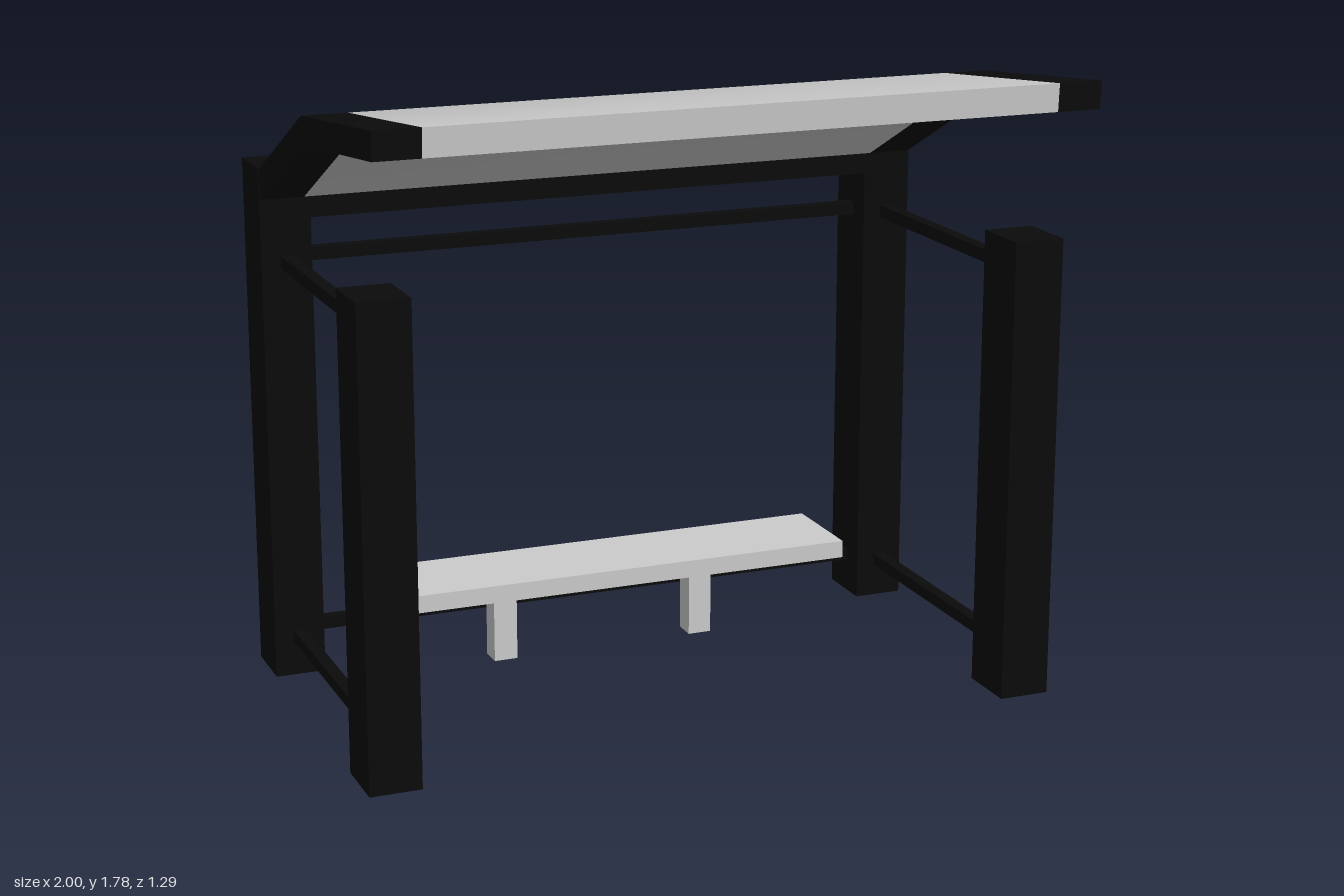
import * as THREE from 'three';
import { toCreasedNormals } from 'three/addons/utils/BufferGeometryUtils.js';

export function createModel() {
  const model = new THREE.Group();
  model.name = 'busShelter';
  const grey = new THREE.MeshStandardMaterial({ color: 0xcccccc });
  const black = new THREE.MeshStandardMaterial({ color: 0x0b0b0b });

  const add = (name, geometry, material) => {
    const mesh = new THREE.Mesh(geometry, material);
    mesh.name = name;
    model.add(mesh);
  };

  // Box given by its extents along each axis
  const box = (name, [x0, x1], [y0, y1], [z0, z1], material) => {
    const g = new THREE.BoxGeometry(x1 - x0, y1 - y0, z1 - z0);
    g.translate((x0 + x1) / 2, (y0 + y1) / 2, (z0 + z1) / 2);
    add(name, g, material);
  };

  // Bent roof profile (z, y) swept along x
  const profile = new THREE.Shape([
    [0.645, 1.78], [0, 1.712], [-0.465, 1.488],
    [-0.465, 1.402], [0.01, 1.636], [0.64, 1.703],
  ].map(([z, y]) => new THREE.Vector2(z, y)));
  const roofPiece = (name, x0, x1, material) => {
    const g = new THREE.ExtrudeGeometry(profile, { depth: x1 - x0, bevelEnabled: false });
    g.rotateY(-Math.PI / 2).translate(x1, 0, 0);
    add(name, toCreasedNormals(g, Math.PI / 6), material);
  };

  const back = [-0.645, -0.465];
  const front = [0.295, 0.473];
  const barHeights = [[0.1, 0.135], [1.203, 1.24]];

  // Posts, side bars and roof rails on both sides
  for (const [side, s] of [['left', 1], ['right', -1]]) {
    const span = (a, b) => (s > 0 ? [a, b] : [-b, -a]);
    box(side + 'FrontPost', span(0.855, 1), [0, 1.32], front, black);
    box(side + 'BackPost', span(0.855, 1), [0, 1.49], back, black);
    for (const h of barHeights) box(side + 'SideBar', span(0.909, 0.945), h, [-0.465, 0.295], black);
    roofPiece(side + 'RoofRail', ...span(0.872, 0.998), black);
  }

  // Back beam and bars
  box('backBeam', [-0.855, 0.855], [1.342, 1.49], back, black);
  for (const h of barHeights) box('backBar', [-0.855, 0.855], h, [-0.573, -0.537], black);

  // Roof panel between the rails
  roofPiece('roofPanel', -0.872, 0.872, grey);

  // Bench
  box('benchSeat', [-0.655, 0.675], [0.235, 0.286], [-0.49, -0.2], grey);
  for (const x of [-0.34, 0.275]) {
    box('benchLeg', [x - 0.035, x + 0.035], [0, 0.235], [-0.42, -0.35], grey);
  }
  return model;
}
